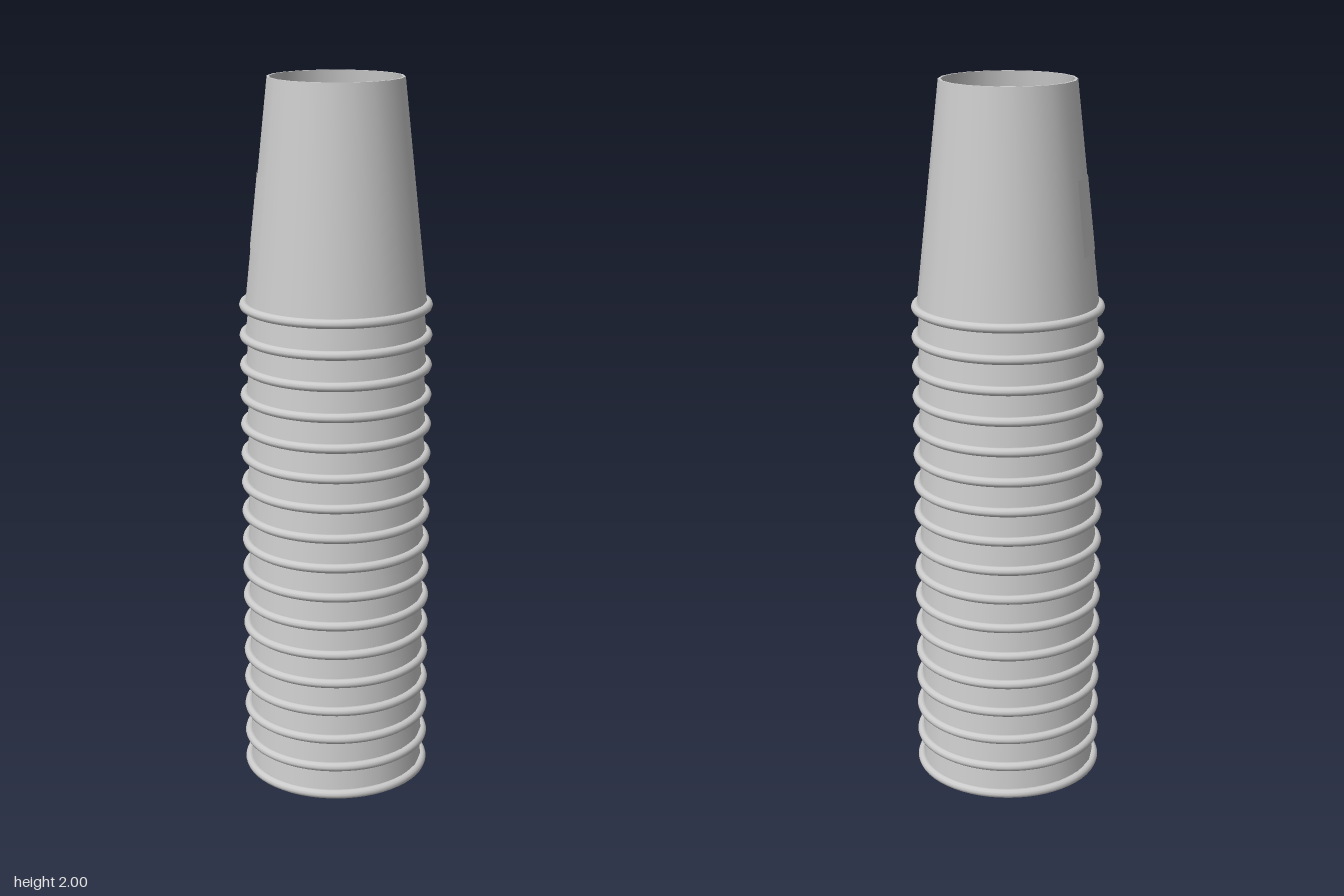
import * as THREE from 'three';
import { mergeGeometries } from 'three/addons/utils/BufferGeometryUtils.js';

const SIDES = 20;
const CUPS = 17;
const STEP = 1.37 / (CUPS - 1);
const HEIGHT = 0.63;
const RIM_Y = 0.013;
const BASE_R = 0.252;
const TOP_R = 0.186;
const WALL = 0.007;

// outer wall radius at a height inside one cup
const radiusAt = (y) => BASE_R + (TOP_R - BASE_R) * (y - RIM_Y) / (HEIGHT - RIM_Y);

// lathe each profile segment on its own so the corners stay sharp
function sharpLathe(points) {
  const bands = [];
  for (let i = 0; i < points.length - 1; i++) {
    const pair = [points[i], points[i + 1]].map(([x, y]) => new THREE.Vector2(x, y));
    bands.push(new THREE.LatheGeometry(pair, SIDES));
  }
  return mergeGeometries(bands);
}

// thin curved panel following the faceted wall on the right (-x) side
function panelGeometry() {
  const y0 = 0.17, y1 = 0.375, lift = 0.002;
  const profile = [y0, y1].map((y) => new THREE.Vector2(radiusAt(y) + lift, y));
  const geo = new THREE.LatheGeometry(profile, 10, Math.PI * 1.5 - Math.PI / 6, Math.PI / 3);
  const pos = geo.attributes.position;
  const facet = 2 * Math.PI / SIDES;
  for (let i = 0; i < pos.count; i++) {
    const a = Math.atan2(pos.getX(i), pos.getZ(i)) + 2 * Math.PI;
    const off = a - Math.round(a / facet - 0.5) * facet - facet / 2;
    const k = Math.cos(facet / 2) / Math.cos(off);
    pos.setX(i, pos.getX(i) * k);
    pos.setZ(i, pos.getZ(i) * k);
  }
  return geo;
}

export function createModel() {
  const group = new THREE.Group();
  group.name = 'cupStack';
  const plastic = new THREE.MeshStandardMaterial({ color: 0xcccccc });
  plastic.name = 'lightGreyPlastic';

  // upside-down cup: floor underside, inner wall, lip, outer wall, foot ring, floor top
  const floorY = HEIGHT - 0.043;
  const underY = floorY - 0.007;
  const cupGeo = sharpLathe([
    [0, underY],
    [radiusAt(underY) - WALL, underY],
    [BASE_R - WALL, RIM_Y],
    [BASE_R, RIM_Y],
    [TOP_R, HEIGHT],
    [TOP_R - WALL, HEIGHT],
    [radiusAt(floorY) - WALL, floorY],
    [0, floorY],
  ]);

  // rolled rim around the mouth
  const rimGeo = new THREE.TorusGeometry(0.254, 0.013, 10, 60);
  rimGeo.rotateX(Math.PI / 2);
  rimGeo.translate(0, RIM_Y, 0);

  const panelGeo = panelGeometry();

  for (let i = 0; i < CUPS; i++) {
    const cup = new THREE.Group();
    cup.name = 'cup' + (i + 1);
    cup.position.y = i * STEP;
    const body = new THREE.Mesh(cupGeo, plastic);
    body.name = 'cupBody';
    const rim = new THREE.Mesh(rimGeo, plastic);
    rim.name = 'rolledRim';
    cup.add(body, rim);
    // only the uppermost cup has its panel exposed
    if (i === CUPS - 1) {
      const panel = new THREE.Mesh(panelGeo, plastic);
      panel.name = 'sidePanel';
      cup.add(panel);
    }
    group.add(cup);
  }
  return group;
}
